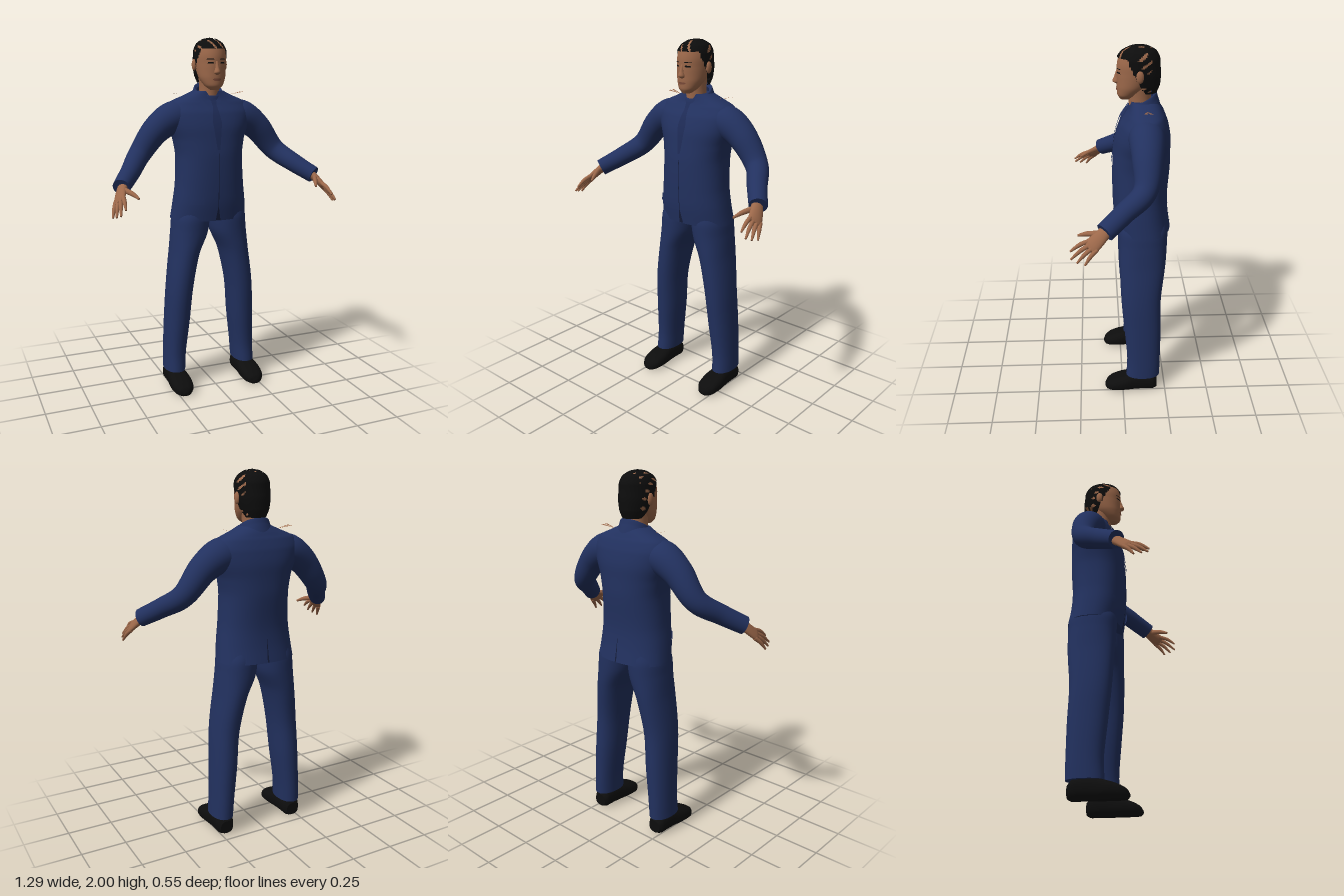
import * as THREE from 'three';

const mat = (name, color) => {
  const m = new THREE.MeshStandardMaterial({ color, side: THREE.DoubleSide });
  m.name = name;
  return m;
};
const V3 = (x, y, z) => new THREE.Vector3(x, y, z);

// Smooth sampler through keys [x, y, z, halfWidth, halfDepth]
function sampler(keys) {
  const path = new THREE.CatmullRomCurve3(keys.map(k => V3(k[0], k[1], k[2])));
  const size = new THREE.CatmullRomCurve3(keys.map(k => V3(k[3], k[4], 0)));
  return t => ({ c: path.getPoint(t), s: size.getPoint(t), T: path.getTangent(t) });
}
const sup = (v, n) => Math.sign(v) * Math.pow(Math.abs(v), 2 / n);

// Skin of superelliptic rings. axis 'y': level rings, 'z': upright rings,
// or a Vector3 giving the width direction of rings square to the path.
function loft(keys, { axis = 'y', segs = 32, steps = 40, n = 2, tilt = 0, caps = true, keep } = {}) {
  const at = sampler(keys), pos = [], idx = [];
  for (let j = 0; j <= steps; j++) {
    const { c, s, T } = at(j / steps);
    let U = V3(1, 0, 0), W = V3(0, 0, 1);
    if (axis === 'z') W = V3(0, -1, 0);
    else if (axis !== 'y') {
      U = axis.clone().addScaledVector(T, -axis.dot(T)).normalize();
      W = U.clone().cross(T);
    }
    for (let i = 0; i < segs; i++) {
      const a = i / segs * Math.PI * 2;
      const p = c.clone().addScaledVector(U, s.x * sup(Math.cos(a), n)).addScaledVector(W, s.y * sup(Math.sin(a), n));
      p.y -= tilt * (p.z - c.z);
      pos.push(p.x, p.y, p.z);
    }
  }
  const pt = k => V3(pos[k * 3], pos[k * 3 + 1], pos[k * 3 + 2]);
  for (let j = 0; j < steps; j++) for (let i = 0; i < segs; i++) {
    const a = j * segs + i, b = j * segs + (i + 1) % segs;
    if (keep && !keep(pt(a).add(pt(b + segs)).multiplyScalar(0.5))) continue;
    idx.push(a, a + segs, b, b, a + segs, b + segs);
  }
  if (caps) for (const j of [0, steps]) {
    const base = pos.length / 3, c = at(j / steps).c;
    for (let i = 0; i < segs; i++) pos.push(...pt(j * segs + i).toArray());
    pos.push(c.x, c.y, c.z);
    for (let i = 0; i < segs; i++) {
      const a = base + i, b = base + (i + 1) % segs;
      idx.push(base + segs, ...(j ? [b, a] : [a, b]));
    }
  }
  return build(pos, idx);
}

function build(pos, idx) {
  const g = new THREE.BufferGeometry();
  g.setAttribute('position', new THREE.Float32BufferAttribute(pos, 3));
  g.setIndex(idx);
  g.computeVertexNormals();
  return g;
}

// Front (side = 1) or back (side = -1) depth of a level loft at x, y
function surfaceZ(keys, n, side, x, y) {
  const at = sampler(keys);
  let lo = 0, hi = 1;
  for (let k = 0; k < 24; k++) {
    const m = (lo + hi) / 2;
    if (at(m).c.y < y) lo = m; else hi = m;
  }
  const { c, s } = at(lo), r = Math.min(1, Math.abs(x) / s.x);
  return c.z + side * s.y * Math.pow(1 - Math.pow(r, n), 1 / n);
}

// Thin panel lying on a loft; rows [y, x0, x1] from top to bottom
function panel(keys, n, rows, { side = 1, lift = 0.005, mirror = 1 } = {}) {
  const pos = [], idx = [], sub = 5, across = 6, total = (rows.length - 1) * sub;
  for (let j = 0; j <= total; j++) {
    const k = Math.min(Math.floor(j / sub), rows.length - 2), f = j / sub - k;
    const [y, x0, x1] = rows[k].map((v, q) => v + (rows[k + 1][q] - v) * f);
    for (let i = 0; i <= across; i++) {
      const x = mirror * (x0 + (x1 - x0) * i / across);
      pos.push(x, y, surfaceZ(keys, n, side, x, y) + side * lift);
    }
  }
  const w = across + 1;
  for (let j = 0; j < total; j++) for (let i = 0; i < across; i++) {
    const a = j * w + i;
    if (mirror * side > 0) idx.push(a, a + w, a + 1, a + 1, a + w, a + w + 1);
    else idx.push(a, a + 1, a + w, a + 1, a + w + 1, a + w);
  }
  return build(pos, idx);
}

export function createModel() {
  const root = new THREE.Group();
  root.name = 'manInSuit';
  const suit = mat('navySuit', 0x22315f), seam = mat('darkNavySeam', 0x151d3a), tieBlue = mat('tieNavy', 0x1e2b56);
  const skin = mat('skin', 0x9c684a), black = mat('black', 0x0d0d0d), lips = mat('lips', 0x7a4a38);
  const add = (name, geo, m) => {
    const mesh = new THREE.Mesh(geo, m);
    mesh.name = name;
    root.add(mesh);
    return mesh;
  };

  // Jacket body
  const body = [[0, 1.0, -.12, .222, .15], [0, 1.1, -.105, .21, .15], [0, 1.2, -.1, .197, .15], [0, 1.35, -.105, .19, .155],
    [0, 1.45, -.11, .205, .15], [0, 1.53, -.115, .235, .143], [0, 1.6, -.12, .25, .125], [0, 1.655, -.125, .22, .098],
    [0, 1.69, -.122, .14, .08], [0, 1.715, -.115, .085, .068]];
  add('jacketBody', loft(body, { n: 2.3, segs: 48, steps: 54 }), suit);
  add('collar', loft([[0, 1.64, -.115, .115, .09], [0, 1.69, -.11, .092, .08], [0, 1.725, -.108, .078, .07], [0, 1.715, -.106, .066, .058]],
    { tilt: 0.5, caps: false }), suit);
  add('tie', panel(body, 2.3, [[1.67, -.016, .016], [1.635, -.012, .012], [1.55, -.026, .026], [1.4, -.008, .008]]), tieBlue);
  add('frontSeam', panel(body, 2.3, [[1.38, -.002, .002], [1.08, -.002, .002], [1.004, -.012, .016]], { lift: .003 }), seam);
  add('backVent', panel(body, 2.3, [[1.13, -.001, .001], [1.003, -.005, .005]], { side: -1, lift: .003 }), seam);

  // Neck and head
  add('neck', loft([[0, 1.62, -.1, .056, .06], [0, 1.72, -.095, .055, .058], [0, 1.81, -.09, .06, .066]]), skin);
  const head = [[0, 1.722, -.018, .022, .025], [0, 1.745, -.03, .05, .052], [0, 1.79, -.055, .073, .08], [0, 1.85, -.075, .082, .1],
    [0, 1.9, -.08, .084, .104], [0, 1.95, -.085, .077, .098], [0, 1.98, -.09, .052, .066], [0, 1.993, -.09, .012, .016]];
  add('head', loft(head, { segs: 40 }), skin);
  add('nose', loft([[0, 1.802, .018, .008, .008], [0, 1.815, .026, .018, .02], [0, 1.84, .023, .011, .015], [0, 1.875, .018, .008, .008]],
    { segs: 16, steps: 16 }), skin);
  add('mouth', panel(head, 2, [[1.783, -.018, .018], [1.778, -.025, .025], [1.771, -.014, .014]], { lift: .003 }), lips);

  // Cropped hair with a swept hairline and thin streaks
  const hair = [[0, 1.758, -.125, .055, .058], [0, 1.8, -.108, .077, .091], [0, 1.87, -.09, .09, .112], [0, 1.93, -.085, .088, .112],
    [0, 1.97, -.088, .071, .09], [0, 1.994, -.09, .035, .045], [0, 2, -.09, .004, .005]];
  const keepHair = p => {
    const line = THREE.MathUtils.mapLinear(THREE.MathUtils.clamp(p.z, -.12, -.02), -.12, -.02, 1.755, 1.942);
    const streak = Math.sin(140 * p.x + 90 * p.y) * Math.sin(50 * p.z + 60 * p.y);
    return p.y > line && !(p.z > -.15 && streak > 0.68);
  };
  add('hair', loft(hair, { segs: 80, steps: 72, caps: false, keep: keepHair }), black);

  // Trouser, arm and face keys for the left side, mirrored by s
  const leg = [[.22, .1, -.118, .06, .098], [.215, .2, -.122, .062, .096], [.2, .4, -.115, .07, .105], [.185, .6, -.105, .073, .112],
    [.152, .8, -.112, .081, .127], [.12, .92, -.115, .102, .133], [.11, 1.0, -.115, .105, .135], [.1, 1.08, -.115, .09, .12]];
  const shoe = [[.22, .045, -.2, .038, .036], [.22, .053, -.175, .052, .053], [.22, .056, -.08, .055, .056], [.22, .047, 0, .064, .047],
    [.22, .036, .06, .058, .036], [.22, .027, .092, .036, .025], [.22, .022, .105, .01, .008]];
  const arm = [[.12, 1.575, -.12, .088, .085], [.2, 1.572, -.12, .092, .09], [.3, 1.51, -.118, .08, .078], [.41, 1.375, -.1, .061, .061],
    [.49, 1.3, .005, .053, .053], [.567, 1.238, .102, .05, .046]];
  const palm = [[.55, 1.25, .085, .03, .025], [.575, 1.215, .125, .036, .02], [.594, 1.183, .163, .04, .016], [.6, 1.172, .178, .034, .01]];
  const tips = [[.59, 1.15, .27], [.615, 1.12, .268], [.63, 1.108, .238], [.64, 1.1, .2]];

  for (const [s, side] of [[1, 'left'], [-1, 'right']]) {
    const flip = keys => keys.map(([x, ...rest]) => [s * x, ...rest]);
    const width = V3(-.53 * s, .53, .66);
    add(side + 'TrouserLeg', loft(flip(leg), { n: 2.2 }), suit);
    add(side + 'Shoe', loft(flip(shoe), { axis: 'z', n: 2.5 }), black);
    add(side + 'Sleeve', loft(flip(arm), { axis: V3(0, 0.3, 1) }), suit);
    add(side + 'Palm', loft(flip(palm), { axis: width, segs: 20, steps: 16 }), skin);

    // Fingers fan out from the knuckles
    tips.forEach((t, i) => {
      const o = [.03, .01, -.01, -.029][i];
      const k = [.594 - .53 * o, 1.183 + .53 * o, .16 + .66 * o];
      const mid = k.map((v, q) => (v + t[q]) / 2 + (q === 1 ? .008 : 0));
      add(side + 'Finger' + (i + 1), loft(flip([[...k, .012, .012], [...mid, .011, .011], [...t, .005, .005]]),
        { axis: width, segs: 10, steps: 8 }), skin);
    });
    add(side + 'Thumb', loft(flip([[.565, 1.23, .12, .016, .014], [.532, 1.215, .185, .013, .012], [.51, 1.195, .232, .006, .006]]),
      { axis: width, segs: 10, steps: 8 }), skin);

    // Lapel and pocket flap
    add(side + 'Lapel', panel(body, 2.3, [[1.685, .045, .07], [1.62, .042, .1], [1.575, .036, .115], [1.5, .028, .085], [1.37, .002, .015]],
      { mirror: s, lift: .008 }), suit);
    add(side + 'PocketFlap', panel(body, 2.3, [[1.145, .085, .165], [1.1, .085, .168]], { mirror: s, lift: .008 }), suit);

    // Eye, brow and ear
    add(side + 'Eye', panel(head, 2, [[1.87, .022, .046], [1.862, .018, .05]], { mirror: s, lift: .003 }), black);
    add(side + 'Brow', panel(head, 2, [[1.888, .02, .05], [1.884, .016, .054]], { mirror: s, lift: .003 }), black);
    const ear = add(side + 'Ear', new THREE.SphereGeometry(1, 16, 12), skin);
    ear.scale.set(.012, .032, .02);
    ear.position.set(s * .09, 1.856, -.09);

    // Thin pointed tabs above the shoulder
    const tab = [];
    for (const z of [-.142, -.113]) tab.push(s * .13, 1.69, -.125, s * .213, 1.706, z - .009, s * .213, 1.706, z + .009);
    add(side + 'ShoulderTabs', build(tab, [0, 2, 1, 3, 5, 4]), skin);
  }
  return root;
}
